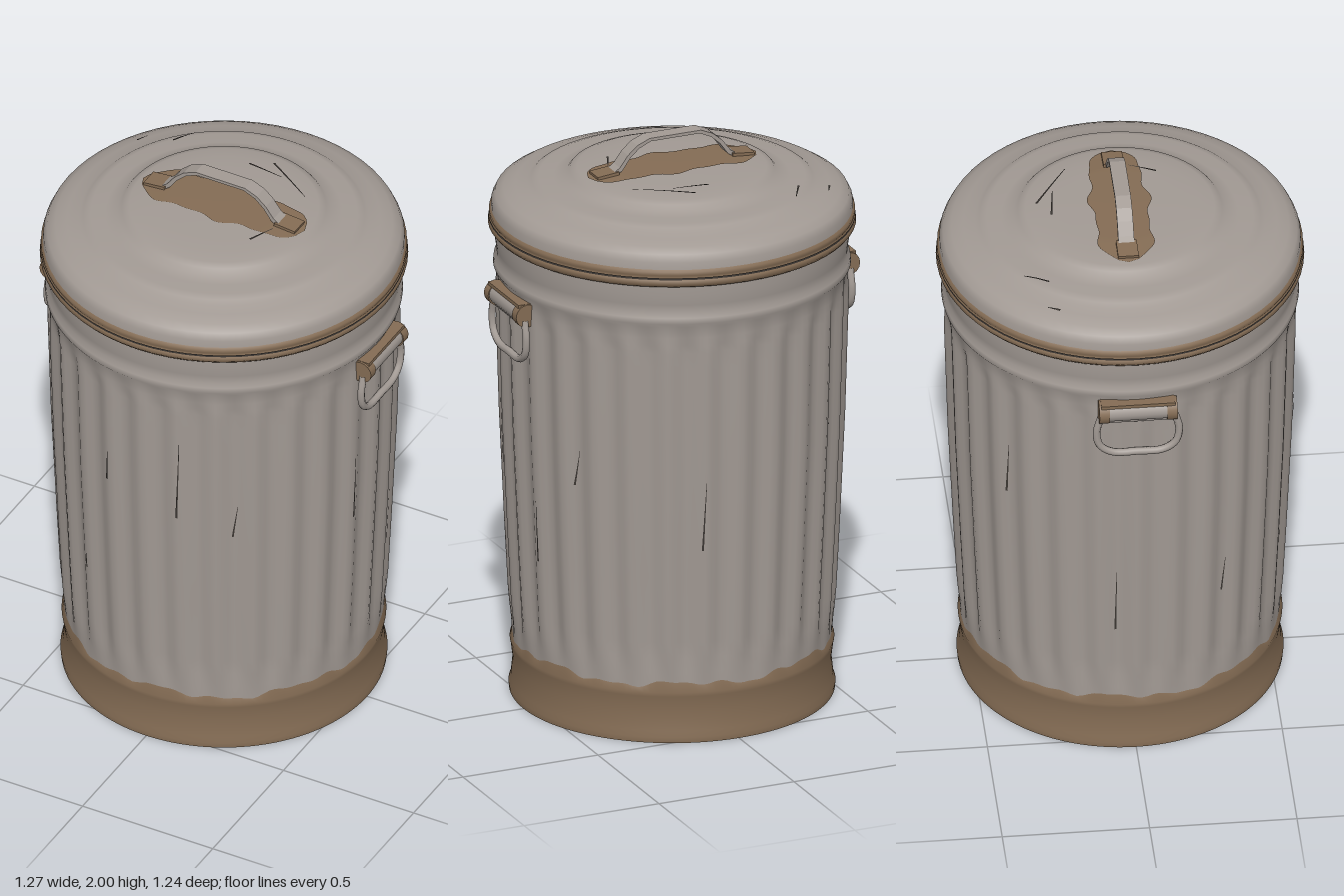
import * as THREE from 'three';

const mat = (name, color, side = THREE.FrontSide) => {
  const m = new THREE.MeshStandardMaterial({ color, side });
  m.name = name;
  return m;
};

// Linear interpolation through [position, value] pairs
const lerpTable = (table, p) => {
  for (let i = 1; i < table.length; i++) {
    const [p0, v0] = table[i - 1], [p1, v1] = table[i];
    if (p <= p1) return v0 + (v1 - v0) * Math.max(0, (p - p0) / (p1 - p0));
  }
  return table[table.length - 1][1];
};

// Surface from a rule fn(u, v) -> [x, y, z]; the front faces along du x dv
function grid(fn, nu, nv, wrap = false) {
  const pos = [], idx = [], cols = wrap ? nu : nu + 1;
  for (let j = 0; j <= nv; j++)
    for (let i = 0; i < cols; i++) pos.push(...fn(i / nu, j / nv));
  for (let j = 0; j < nv; j++)
    for (let i = 0; i < nu; i++) {
      const n = (i + 1) % cols, a = j * cols + i, b = j * cols + n;
      idx.push(a, b, a + cols, b, b + cols, a + cols);
    }
  const g = new THREE.BufferGeometry();
  g.setAttribute('position', new THREE.Float32BufferAttribute(pos, 3));
  g.setIndex(idx);
  g.computeVertexNormals();
  return g;
}

// Body radius by height, with fading vertical flutes
const WALL = [[0, 0.55], [0.02, 0.552], [0.04, 0.545], [0.11, 0.538], [0.165, 0.545], [0.18, 0.548], [0.2, 0.54],
  [0.6, 0.56], [1.0, 0.578], [1.48, 0.592], [1.52, 0.594], [1.535, 0.604], [1.555, 0.602],
  [1.57, 0.592], [1.6, 0.594], [1.64, 0.6], [1.7, 0.598]];
const FLUTES = 28;
const bodyRadius = (a, y) => {
  const fade = THREE.MathUtils.smoothstep(y, 0.2, 0.36) * (1 - THREE.MathUtils.smoothstep(y, 1.42, 1.52));
  return lerpTable(WALL, y) + fade * 0.01 * (Math.cos(a * FLUTES) - 0.3);
};
const onBody = (a, y, lift = 0) => {
  const r = bodyRadius(a, y) + lift;
  return [Math.sin(a) * r, y, Math.cos(a) * r];
};
// Ragged upper edge of the rust
const rustLine = a => 0.207 + 0.008 * Math.sin(a * 7 + 1) + 0.006 * Math.sin(a * 17) + 0.004 * Math.sin(a * 31 + 2);

// Lid height by radius: shallow concentric steps
const LID = [[0, 1.887], [0.2, 1.886], [0.27, 1.88], [0.32, 1.877], [0.345, 1.868], [0.36, 1.85], [0.4, 1.842],
  [0.45, 1.842], [0.475, 1.834], [0.49, 1.822], [0.53, 1.815], [0.57, 1.802], [0.598, 1.785], [0.61, 1.76], [0.612, 1.72]];
const onLid = (x, z, lift) => [x, lerpTable(LID, Math.hypot(x, z)) + lift, z];

export function createModel() {
  const model = new THREE.Group();
  const steel = mat('galvanised steel', 0xa29a94);
  const rust = mat('rust', 0x846c54);
  const dark = mat('dark scratch', 0x3c3733, THREE.DoubleSide);
  const add = (name, geo, material, parent = model) => {
    const m = new THREE.Mesh(geo, material);
    m.name = name;
    parent.add(m);
    return m;
  };
  const TAU = Math.PI * 2, SEG = FLUTES * 6;
  const lathe = pts => new THREE.LatheGeometry(pts.map(p => new THREE.Vector2(...p)), 64);

  // Fluted wall and rusty base
  const baseRows = [0, 0.02, 0.04, 0.11, 0.165, 0.18];
  add('rustyBase', grid((u, v) => {
    const a = u * TAU, j = Math.round(v * 6);
    return onBody(a, j < 6 ? baseRows[j] : rustLine(a));
  }, SEG, 6, true), rust);
  const wallRows = [0, 0.25, 0.3, 0.36, 0.6, 1.0, 1.36, 1.42, 1.45, 1.48, 1.52, 1.535, 1.555, 1.57, 1.6, 1.64, 1.7];
  add('flutedWall', grid((u, v) => {
    const a = u * TAU, j = Math.round(v * 16);
    return onBody(a, j ? wallRows[j] : rustLine(a));
  }, SEG, 16, true), steel);
  const floor = add('floor', new THREE.CircleGeometry(0.551, 64), rust);
  floor.rotation.x = Math.PI / 2;
  floor.position.y = 0.002;

  // Lid and its rolled, rusty rim
  add('lid', lathe(LID.slice().reverse()), steel);
  add('lidRim', lathe([[0.59, 1.678], [0.612, 1.673], [0.622, 1.685], [0.62, 1.698], [0.612, 1.706],
    [0.618, 1.716], [0.618, 1.728], [0.61, 1.736]]), rust);
  add('rimGroove', lathe([[0.6195, 1.701], [0.619, 1.708]]), dark);

  // Rust stain under the lid handle
  add('lidRustPatch', grid((u, v) => {
    const x = -0.31 + 0.62 * u;
    const w = 0.095 * Math.sqrt(Math.max(0, 1 - Math.pow(Math.abs(x) / 0.31, 4)));
    const wave = 1 + 0.1 * Math.sin(x * 27 + 1) + 0.06 * Math.sin(x * 50);
    return onLid(x, (1 - 2 * v) * w * wave, 0.004);
  }, 48, 10), rust);

  // Lid handle: a bent strap on two feet
  const half = [[0.235, 1.885], [0.205, 1.905], [0.175, 1.945], [0.14, 1.975], [0.095, 1.994]];
  const outer = [...half, ...half.slice().reverse().map(([x, y]) => [-x, y])];
  const inner = outer.map(([x, y]) => [x * 0.95, y - 0.011]).reverse();
  const strap = new THREE.Shape([...outer, ...inner].map(p => new THREE.Vector2(p[0], p[1] + 0.006)));
  const strapGeo = new THREE.ExtrudeGeometry(strap, { depth: 0.054, bevelEnabled: false });
  add('lidHandle', strapGeo.translate(0, 0, -0.027), steel);
  for (const s of [-1, 1]) {
    const foot = add('lidHandleFoot', new THREE.BoxGeometry(0.08, 0.014, 0.07), rust);
    foot.position.set(s * 0.25, 1.889, 0);
    foot.rotation.z = -s * 0.1;
  }

  // Side handles: a rolled bracket holding a drop ring
  const ringPoints = [[1.455, -0.125], [1.39, -0.14], [1.335, -0.128], [1.305, -0.085],
    [1.302, 0], [1.305, 0.085], [1.335, 0.128], [1.39, 0.14], [1.455, 0.125]];
  const ringCurve = new THREE.CatmullRomCurve3(ringPoints.map(([y, z]) => new THREE.Vector3(0.603, y, z)));
  for (const s of [1, -1]) {
    const handle = new THREE.Group();
    handle.name = s > 0 ? 'leftHandle' : 'rightHandle';
    handle.rotation.y = s > 0 ? 0 : Math.PI;
    model.add(handle);
    add('dropRing', new THREE.TubeGeometry(ringCurve, 40, 0.013, 8), steel, handle);
    const rod = (name, r, len, y, z, material) => {
      const m = add(name, new THREE.CylinderGeometry(r, r, len, 16), material, handle);
      m.rotation.x = Math.PI / 2;
      m.position.set(0.596, y, z);
    };
    rod('bracket', 0.037, 0.2, 1.475, 0, steel);
    rod('ringBar', 0.014, 0.24, 1.44, 0, steel);
    for (const e of [-1, 1]) rod('bracketEnd', 0.041, 0.035, 1.473, e * 0.115, rust);
    const lip = add('bracketLip', new THREE.BoxGeometry(0.05, 0.012, 0.25), rust, handle);
    lip.position.set(0.6, 1.508, 0);
  }

  // Thin scratches on the wall: [angle, bottom, top, slant]
  const wallScratches = [[-0.24, 1.05, 1.17, 0.01], [0.22, 0.98, 1.3, 0.02], [-1.0, 0.58, 0.72, 0.02],
    [-0.45, 0.6, 0.66, 0], [0.55, 0.9, 1.03, 0.03], [1.35, 0.85, 1.1, 0], [1.8, 0.58, 0.8, 0],
    [2.1, 0.9, 1.03, 0.04], [2.9, 0.7, 0.95, 0.02], [-2.4, 1.0, 1.2, 0.02], [-1.7, 0.5, 0.75, 0.01]];
  for (const [a, y0, y1, slant] of wallScratches)
    add('wallScratch', grid((u, v) => onBody(a + slant * v + (u - 0.5) * 0.012 * (1 - v * 0.8),
      y0 + (y1 - y0) * v, 0.003), 1, 6), dark);

  // Thin scratches on the lid: [x0, z0, x1, z1]
  const lidScratches = [[0.04, -0.28, 0.22, -0.165], [-0.03, -0.235, 0.1, -0.22], [-0.345, -0.275, -0.3, -0.355],
    [0.175, 0.14, 0.215, 0.05], [-0.47, -0.25, -0.45, -0.29]];
  for (const [x0, z0, x1, z1] of lidScratches)
    add('lidScratch', grid((u, v) => {
      const w = (u - 0.5) * 0.007 * (1 - v * 0.7), d = Math.hypot(x1 - x0, z1 - z0);
      return onLid(x0 + (x1 - x0) * v - w * (z1 - z0) / d, z0 + (z1 - z0) * v + w * (x1 - x0) / d, 0.005);
    }, 1, 8), dark);

  return model;
}
